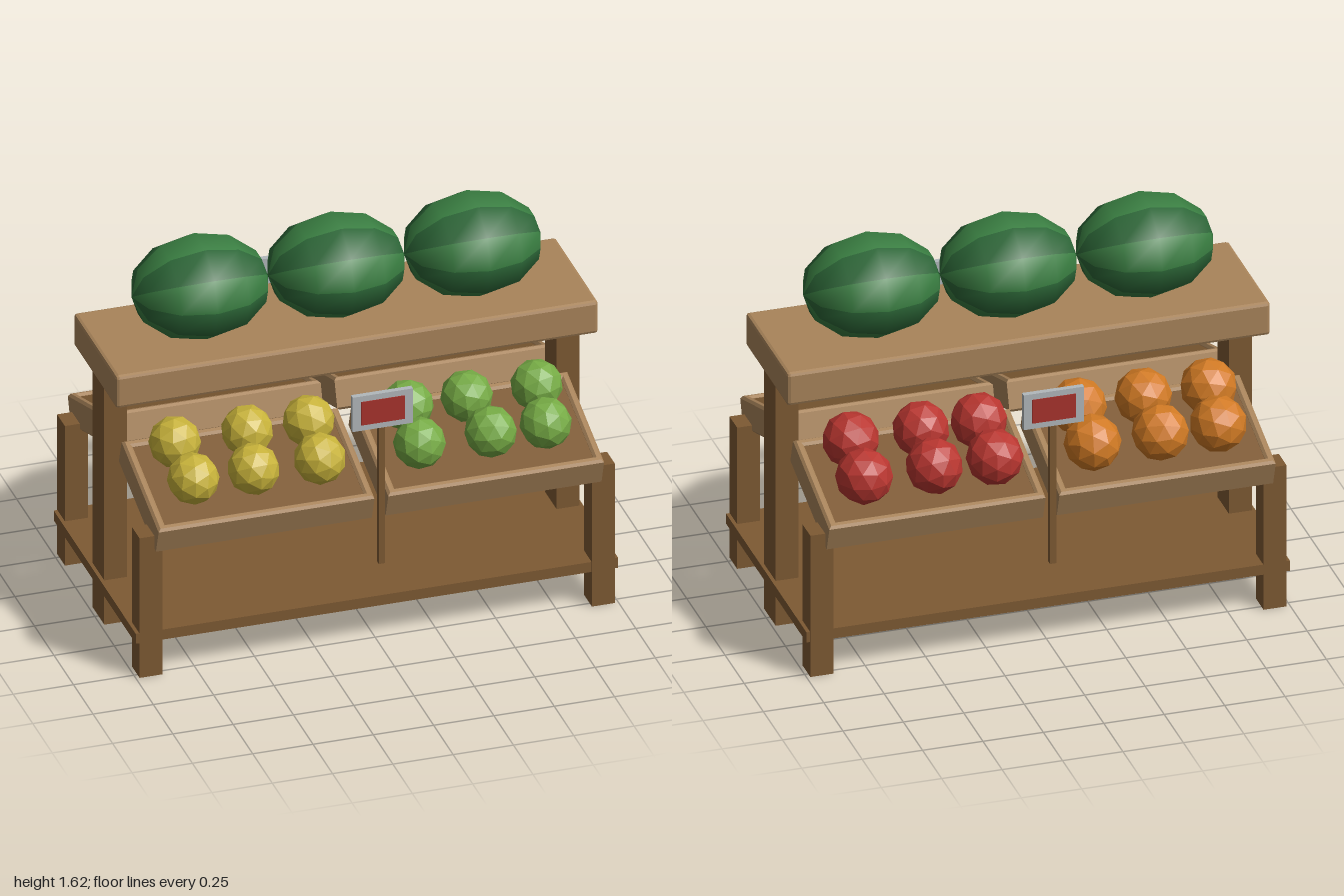
import * as THREE from 'three';
import { RoundedBoxGeometry } from 'three/addons/geometries/RoundedBoxGeometry.js';

function material(name, color, flatShading = true) {
  const m = new THREE.MeshStandardMaterial({ color, flatShading });
  m.name = name;
  return m;
}

const mats = {
  plank: material('light wood', 0xa9845a),
  frame: material('dark wood', 0x7e5a33),
  metal: material('grey metal', 0xb2b8bb),
  sign: material('sign red', 0xa8332d),
  apple: material('apple red', 0xb93630),
  orange: material('orange', 0xd17a24),
  lemon: material('lemon yellow', 0xc7b23a),
  lime: material('lime green', 0x76ab45),
  rind: material('dark rind', 0x2c6637, false),
  stripe: material('light rind', 0x3a7f42, false),
};

function add(parent, name, geometry, mat, x = 0, y = 0, z = 0) {
  const mesh = new THREE.Mesh(geometry, mat);
  mesh.name = name;
  mesh.position.set(x, y, z);
  parent.add(mesh);
  return mesh;
}

// Box given by its lower and upper bounds
function bounds(parent, name, mat, [x0, x1], [y0, y1], [z0, z1]) {
  return add(parent, name, new THREE.BoxGeometry(x1 - x0, y1 - y0, z1 - z0), mat,
    (x0 + x1) / 2, (y0 + y1) / 2, (z0 + z1) / 2);
}

function rectangle(path, w, d) {
  path.moveTo(-w / 2, -d / 2);
  path.lineTo(w / 2, -d / 2);
  path.lineTo(w / 2, d / 2);
  path.lineTo(-w / 2, d / 2);
  path.closePath();
  return path;
}

// Shallow tilted crate: bevelled rim around a dark floor
function crate(parent, x) {
  const W = 0.895, D = 0.5, H = 0.13, bevel = 0.01, rim = 0.035;
  const tray = new THREE.Group();
  tray.name = 'crate';
  const shape = rectangle(new THREE.Shape(), W, D);
  shape.holes.push(rectangle(new THREE.Path(), W - 2 * rim, D - 2 * rim));
  const geo = new THREE.ExtrudeGeometry(shape, {
    depth: H - 2 * bevel, bevelThickness: bevel, bevelSize: bevel,
    bevelOffset: -bevel, bevelSegments: 1,
  });
  geo.translate(0, 0, bevel - H / 2);
  geo.rotateX(-Math.PI / 2);
  add(tray, 'crateRim', geo, mats.plank);
  const w = W - 2 * rim + 0.002, d = D - 2 * rim + 0.002;
  add(tray, 'crateFloor', new THREE.BoxGeometry(w, 0.02, d), mats.frame, 0, H / 2 - 0.022, 0);
  add(tray, 'crateBottom', new THREE.BoxGeometry(w, 0.02, d), mats.plank, 0, 0.012 - H / 2, 0);
  tray.position.set(x, 0.7, 0.327);
  tray.rotation.x = 0.32;
  parent.add(tray);
}

// Two rows of faceted fruit: xs lists the lower row, then the upper row
function fruits(parent, name, mat, r, xs) {
  const geo = new THREE.IcosahedronGeometry(r, 1);
  xs.forEach((x, i) => {
    const low = i < 3;
    const fruit = add(parent, name, geo, mat, x, low ? 0.83 : 0.897, low ? 0.472 : 0.282);
    fruit.rotation.set(i * 1.3, i * 2.1 + x, i * 0.7);
  });
}

// Price sign on a thin stake
function priceSign(parent) {
  bounds(parent, 'signStake', mats.frame, [-0.013, 0.013], [0.38, 1.08], [0.566, 0.59]);
  bounds(parent, 'signBoard', mats.metal, [-0.125, 0.125], [1, 1.155], [0.577, 0.6]);
  bounds(parent, 'signPanel', mats.sign, [-0.09, 0.09], [1.025, 1.13], [0.598, 0.603]);
}

// Long melon with poles along x and alternating rind stripes
function melonGeometry() {
  const sides = 10, rows = 6;
  const geo = new THREE.SphereGeometry(1, sides, rows);
  let start = 0;
  for (let row = 0; row < rows; row++) {
    const count = row === 0 || row === rows - 1 ? 3 : 6;
    for (let i = 0; i < sides; i++, start += count) geo.addGroup(start, count, i % 2);
  }
  geo.rotateZ(Math.PI / 2);
  geo.rotateX(Math.PI / sides);
  geo.scale(0.283, 0.212, 0.237);
  return geo;
}

export function createModel() {
  const stand = new THREE.Group();
  stand.name = 'fruitStand';

  // Frame
  for (const s of [-1, 1]) {
    const xs = s < 0 ? [-0.985, -0.89] : [0.89, 0.985];
    bounds(stand, 'centrePost', mats.frame, xs, [0, 1.2], [-0.075, 0.075]);
    bounds(stand, 'frontLeg', mats.frame, xs, [0, 0.63], [0.428, 0.528]);
    bounds(stand, 'backLeg', mats.frame, xs, [0, 0.63], [-0.528, -0.428]);
  }
  bounds(stand, 'lowerShelf', mats.frame, [-1, 1], [0.155, 0.2], [-0.525, 0.525]);
  add(stand, 'topPlank', new RoundedBoxGeometry(2, 0.146, 0.55, 1, 0.014), mats.plank, 0, 1.153, 0);

  // Melons on top
  const melon = melonGeometry();
  for (const x of [-0.565, 0, 0.565]) {
    add(stand, 'melon', melon, [mats.rind, mats.stripe], x, 1.416, 0);
  }

  // Front and back displays, the back one turned half round
  for (const back of [false, true]) {
    const side = new THREE.Group();
    side.name = back ? 'backDisplay' : 'frontDisplay';
    crate(side, -0.476);
    crate(side, 0.476);
    priceSign(side);
    if (back) {
      fruits(side, 'apple', mats.apple, 0.115, [-0.205, -0.455, -0.745, -0.21, -0.45, -0.74]);
      fruits(side, 'orange', mats.orange, 0.115, [0.72, 0.48, 0.2, 0.74, 0.47, 0.2]);
      side.rotation.y = Math.PI;
    } else {
      fruits(side, 'lemon', mats.lemon, 0.105, [-0.745, -0.495, -0.22, -0.76, -0.46, -0.205]);
      fruits(side, 'lime', mats.lime, 0.105, [0.193, 0.488, 0.716, 0.205, 0.45, 0.74]);
    }
    stand.add(side);
  }
  return stand;
}
